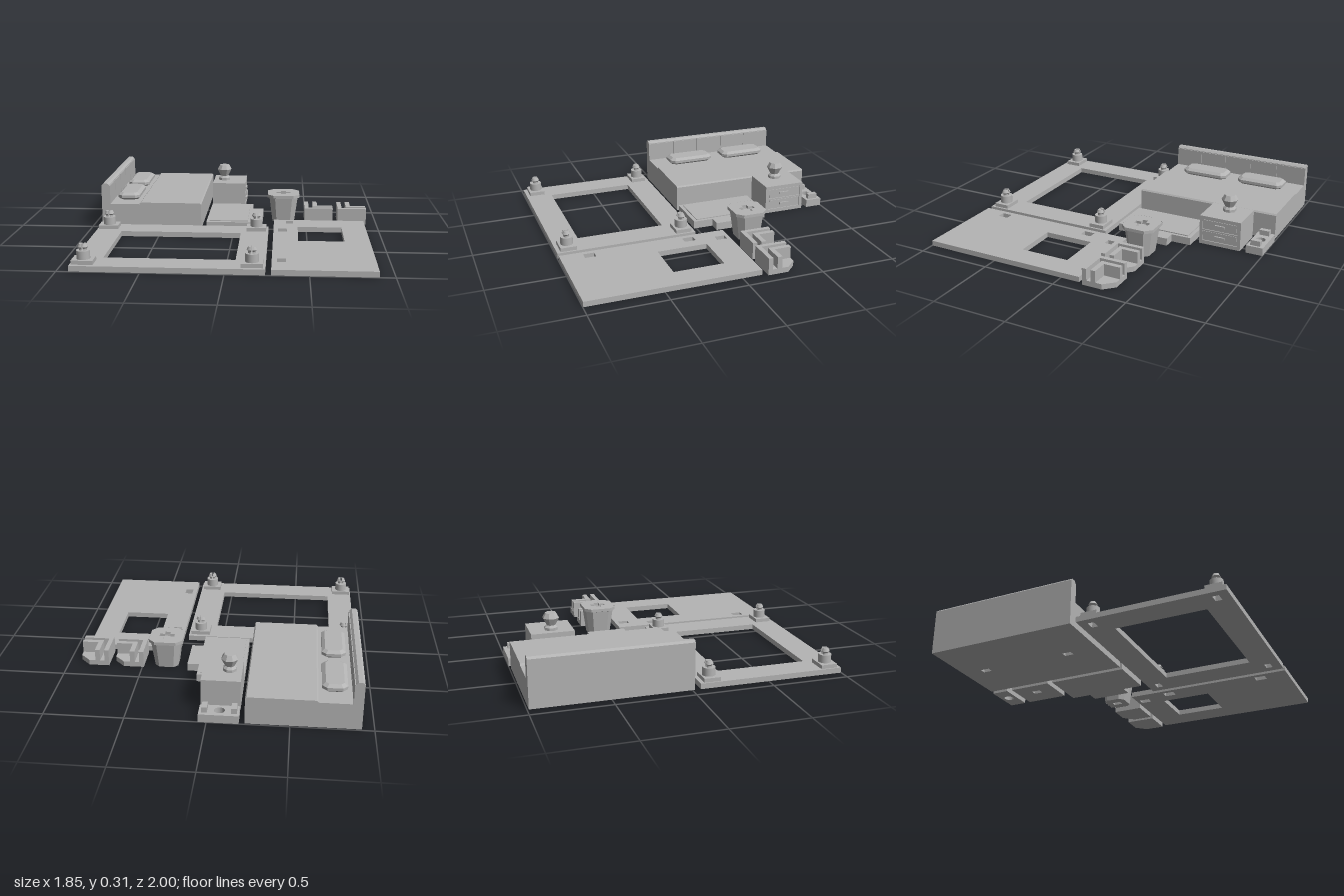
import * as THREE from 'three';

const grey = new THREE.MeshStandardMaterial({ color: 0xb4b4b4, side: THREE.DoubleSide });

function add(parent, name, geometry) {
  const mesh = new THREE.Mesh(geometry, grey);
  mesh.name = name;
  parent.add(mesh);
  return mesh;
}

function group(parent, name) {
  const g = new THREE.Group();
  g.name = name;
  parent.add(g);
  return g;
}

function box(x0, x1, y0, y1, z0, z1) {
  return new THREE.BoxGeometry(x1 - x0, y1 - y0, z1 - z0)
    .translate((x0 + x1) / 2, (y0 + y1) / 2, (z0 + z1) / 2);
}

// Closed outline on the ground plane, given as [x, z] points
const outline = (pts, Type = THREE.Path) => new Type(pts.map(([x, z]) => new THREE.Vector2(x, -z)));
const rect = (x0, x1, z0, z1) => [[x0, z0], [x0, z1], [x1, z1], [x1, z0]];
const slotAt = (x, z, w = 0.04, d = 0.06) => rect(x - w / 2, x + w / 2, z - d / 2, z + d / 2);

// Vertical extrusion of an outline with holes
function plate(pts, holes, y0, y1) {
  const shape = outline(pts, THREE.Shape);
  shape.holes = holes.map((h) => (h instanceof THREE.Path ? h : outline(h)));
  return new THREE.ExtrudeGeometry(shape, { depth: y1 - y0, bevelEnabled: false, curveSegments: 24 })
    .rotateX(-Math.PI / 2).translate(0, y0, 0);
}

function octagon(x, z, w, d, c) {
  const a = w / 2, b = d / 2;
  return [[a, c - b], [a, b - c], [a - c, b], [c - a, b], [-a, b - c], [-a, c - b], [c - a, -b], [a - c, -b]]
    .map(([px, pz]) => [x + px, z + pz]);
}

// Faceted solid through chamfered rectangles [y, width, depth, chamfer]
function loft(x, z, sections, capBottom = true, capTop = true) {
  const rings = sections.map(([y, w, d, c]) => octagon(x, z, w, d, c).map(([px, pz]) => [px, y, pz]));
  const pos = [];
  for (let i = 0; i + 1 < rings.length; i++) {
    for (let j = 0; j < 8; j++) {
      const k = (j + 1) % 8, [a, b, c, d] = [rings[i][j], rings[i][k], rings[i + 1][k], rings[i + 1][j]];
      pos.push(...a, ...c, ...b, ...a, ...d, ...c);
    }
  }
  const last = rings[rings.length - 1];
  for (let j = 1; j < 7; j++) {
    if (capTop) pos.push(...last[0], ...last[j + 1], ...last[j]);
    if (capBottom) pos.push(...rings[0][0], ...rings[0][j], ...rings[0][j + 1]);
  }
  // Order the corners so that every face points outwards
  for (let i = 0; i < pos.length; i += 9) {
    for (let n = 0; n < 3; n++) [pos[i + 3 + n], pos[i + 6 + n]] = [pos[i + 6 + n], pos[i + 3 + n]];
  }
  const g = new THREE.BufferGeometry();
  g.setAttribute('position', new THREE.Float32BufferAttribute(pos, 3));
  g.computeVertexNormals();
  return fixWinding(g, sections, x, z);
}

// Flip the solid if its first side face points inwards
function fixWinding(g, sections, x, z) {
  const p = g.attributes.position, n = g.attributes.normal;
  if ((p.getX(0) - x) * n.getX(0) + (p.getZ(0) - z) * n.getZ(0) < 0) {
    for (let i = 0; i < p.count; i += 3) {
      const b = new THREE.Vector3().fromBufferAttribute(p, i + 1);
      const c = new THREE.Vector3().fromBufferAttribute(p, i + 2);
      p.setXYZ(i + 1, c.x, c.y, c.z);
      p.setXYZ(i + 2, b.x, b.y, b.z);
    }
    g.computeVertexNormals();
  }
  return g;
}

function createModel() {
  const model = new THREE.Group();
  model.name = 'furnitureKit';

  // Open frame with a split pin in each corner
  const frame = group(model, 'frame');
  const pegs = [-0.85, 0.16].flatMap((x) => [0.13, 0.917].map((z) => [x, z]));
  add(frame, 'framePlate', plate(rect(-0.925, 0.24, 0.053, 0.997),
    [rect(-0.75, 0.057, 0.23, 0.82), ...pegs.map(([x, z]) => slotAt(x, z, 0.06, 0.04))], 0, 0.035));
  const pinProfile = [[0, 0.11], [0.018, 0.11], [0.018, 0.123], [0.027, 0.133], [0.018, 0.152], [0, 0.152]]
    .map(([r, y]) => new THREE.Vector2(r, y));
  for (const [x, z] of pegs) {
    const peg = group(frame, 'cornerPeg');
    peg.position.set(x, 0, z);
    add(peg, 'pegPad', box(-0.066, 0.066, 0.035, 0.06, -0.052, 0.055));
    add(peg, 'pegCollar', new THREE.CylinderGeometry(0.041, 0.041, 0.052, 32).translate(0, 0.086, 0));
    for (const side of [0, 1]) {
      const half = group(peg, 'pinHalf');
      half.rotation.y = side * Math.PI;
      half.position.x = side ? -0.005 : 0.005;
      add(half, 'pinShell', new THREE.LatheGeometry(pinProfile, 16, 0, Math.PI).toNonIndexed()).geometry.computeVertexNormals();
      const flat = [...pinProfile, ...pinProfile.map((p) => new THREE.Vector2(-p.x, p.y)).reverse()];
      add(half, 'pinFlat', new THREE.ShapeGeometry(new THREE.Shape(flat)).rotateY(-Math.PI / 2));
    }
  }

  // Floor panel with a window and slots
  add(model, 'floorPanel', plate(rect(0.275, 0.905, -0.13, 0.997), [
    rect(0.44, 0.74, 0.053, 0.39), rect(0.36, 0.41, -0.105, -0.035),
    rect(0.307, 0.362, 0.1, 0.175), rect(0.307, 0.362, 0.775, 0.847)], 0, 0.035));

  // Bed: slotted underside, side profile, headboard boards, pillows
  const bed = group(model, 'bed');
  add(bed, 'bedBase', plate(rect(-0.925, -0.23, -0.99, 0.015),
    [slotAt(-0.555, -0.2), slotAt(-0.555, -0.82)], 0, 0.03));
  const profile = new THREE.Shape([[-0.925, 0.03], [-0.23, 0.03], [-0.23, 0.172], [-0.238, 0.182], [-0.652, 0.182],
    [-0.662, 0.17], [-0.871, 0.17], [-0.871, 0.302], [-0.885, 0.315], [-0.912, 0.315], [-0.925, 0.302]]
    .map(([x, y]) => new THREE.Vector2(x, y)));
  add(bed, 'bedBody', new THREE.ExtrudeGeometry(profile, { depth: 1.005, bevelEnabled: false }).translate(0, 0, -0.99));
  const joints = [-0.99, -0.78, -0.58, -0.38, -0.185, 0.015];
  for (let i = 0; i < 5; i++) {
    add(bed, 'headboardBoard', box(-0.871, -0.865, 0.17, 0.298,
      joints[i] + (i ? 0.004 : 0), joints[i + 1] - (i < 4 ? 0.004 : 0)));
  }
  for (const z of [-0.703, -0.275]) {
    add(bed, 'pillow', loft(-0.76, z, [[0.168, 0.12, 0.3, 0.025], [0.183, 0.155, 0.335, 0.03],
      [0.202, 0.155, 0.335, 0.03], [0.218, 0.112, 0.29, 0.02]]));
  }

  // Nightstand with two drawers on its left side
  const stand = group(model, 'nightstand');
  add(stand, 'standBase', plate(rect(-0.195, 0.043, -0.845, -0.557), [slotAt(-0.09, -0.7)], 0, 0.03));
  add(stand, 'standBody', box(-0.195, 0.043, 0.03, 0.2, -0.845, -0.557));
  const drawerFace = (z0, z1, y0, y1) => [[z0, y0], [z1, y0], [z1, y1], [z0, y1]].map(([a, b]) => new THREE.Vector2(a, b));
  const face = new THREE.Shape(drawerFace(0.557, 0.845, 0, 0.2));
  for (const y of [0.062, 0.142]) {
    face.holes.push(new THREE.Path(drawerFace(0.578, 0.824, y - 0.036, y + 0.036)));
    add(stand, 'drawer', box(0.043, 0.047, y - 0.03, y + 0.03, -0.816, -0.586));
    add(stand, 'drawerHandle', box(0.045, 0.058, y - 0.008, y + 0.008, -0.735, -0.665));
  }
  add(stand, 'drawerSurround', new THREE.ExtrudeGeometry(face, { depth: 0.007, bevelEnabled: false })
    .rotateY(Math.PI / 2).translate(0.043, 0, 0));

  // Eight-sided lamp
  const lampProfile = [[0, 0.2], [0.045, 0.2], [0.045, 0.218], [0.03, 0.232], [0.034, 0.24], [0.056, 0.282], [0.037, 0.315], [0, 0.315]]
    .map(([r, y]) => new THREE.Vector2(r, y));
  const lamp = new THREE.LatheGeometry(lampProfile, 8).rotateY(Math.PI / 8).toNonIndexed();
  lamp.computeVertexNormals();
  add(model, 'lamp', lamp.translate(-0.117, 0, -0.7));

  // Rug block with a raised field and a side tab
  const rug = group(model, 'rug');
  add(rug, 'rugBase', box(-0.195, 0.115, 0, 0.051, -0.52, 0.015));
  add(rug, 'rugField', box(-0.173, 0.094, 0.051, 0.057, -0.495, -0.01));
  add(rug, 'rugTab', box(0.115, 0.193, 0, 0.051, -0.385, -0.12));

  // Connector with a round hole and two tabs
  const connector = group(model, 'connector');
  const hole = new THREE.Path();
  hole.absarc(-0.075, 0.942, 0.033, 0, Math.PI * 2);
  add(connector, 'connectorBlock', plate(rect(-0.195, 0.05, -1, -0.885), [hole], 0, 0.053));
  for (const x of [-0.165, 0.015]) add(connector, 'connectorTab', box(x - 0.017, x + 0.017, 0.053, 0.088, -0.975, -0.908));

  // Plant pot with a cross-shaped socket and a slot below
  const pot = group(model, 'plantPot');
  const px = 0.34, pz = -0.275;
  add(pot, 'potWall', loft(px, pz, [[0, 0.155, 0.15, 0.03], [0.175, 0.2, 0.195, 0.04],
    [0.18, 0.226, 0.222, 0.042], [0.2, 0.226, 0.222, 0.042]], false, false));
  add(pot, 'potBase', plate(octagon(px, pz, 0.153, 0.148, 0.03), [slotAt(px, pz)], 0, 0.02));
  add(pot, 'potFloor', plate(octagon(px, pz, 0.15, 0.145, 0.03), [], 0.02, 0.024));
  const a = 0.05, b = 0.018;
  const cross = [[b, a], [b, b], [a, b], [a, -b], [b, -b], [b, -a], [-b, -a], [-b, -b], [-a, -b], [-a, b], [-b, b], [-b, a]]
    .map(([x, z]) => [px + x, pz + z]);
  add(pot, 'potTop', plate(octagon(px, pz, 0.224, 0.22, 0.042), [cross], 0.182, 0.2));
  add(pot, 'socketFloor', box(px - a, px + a, 0.165, 0.17, pz - a, pz + a));

  // Two corner brackets with nested angled walls
  for (const x of [0.49, 0.725]) {
    const bracket = group(model, 'cornerBracket');
    bracket.position.set(x, 0, -0.163);
    add(bracket, 'bracketBase', plate([[0, 0], [0.2, 0], [0.2, -0.135], [0.135, -0.202], [0, -0.202]], [], 0, 0.035));
    for (const [s, t] of [[0, 0.03], [0.06, 0.092]]) {
      add(bracket, 'bracketWall', plate([[s, -s], [0.2, -s], [0.2, -t], [t, -t], [t, -0.202], [s, -0.202]], [], 0.035, 0.113));
    }
  }
  return model;
}

export { createModel };
